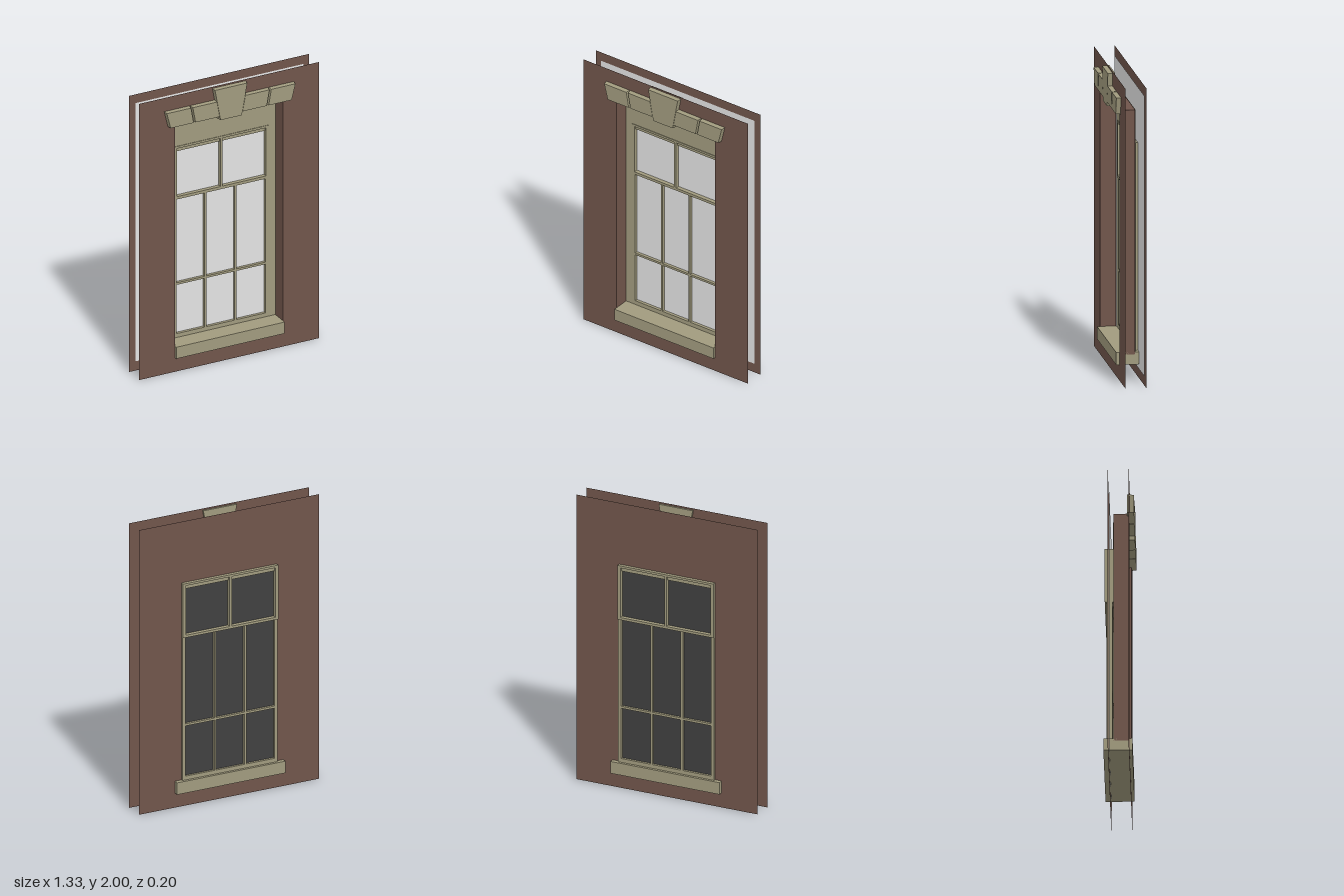
import * as THREE from 'three';

const mat = (name, color, side = THREE.DoubleSide) => {
  const m = new THREE.MeshStandardMaterial({ color, side });
  m.name = name;
  return m;
};

// Rectangle path, given as [x0, y0, x1, y1]
const rectPath = (Type, [x0, y0, x1, y1]) => {
  const p = new Type();
  p.moveTo(x0, y0).lineTo(x1, y0).lineTo(x1, y1).lineTo(x0, y1).closePath();
  return p;
};

const holed = (outer, holes) => {
  const s = rectPath(THREE.Shape, outer);
  holes.forEach(h => s.holes.push(rectPath(THREE.Path, h)));
  return s;
};

export function createModel() {
  const brick = mat('brick brown', 0x70554b);
  const stone = mat('khaki stone', 0xa19b7e);
  const pane = mat('pale glass', 0xe3e3e3, THREE.FrontSide);
  const dark = mat('dark glass', 0x404040, THREE.FrontSide);

  const group = new THREE.Group();
  const add = (name, geo, material, x = 0, y = 0, z = 0) => {
    const m = new THREE.Mesh(geo, material);
    m.name = name;
    m.position.set(x, y, z);
    group.add(m);
    return m;
  };
  const sheet = (name, outer, holes, z, material) =>
    add(name, new THREE.ShapeGeometry(holed(outer, holes)), material, 0, 0, z);
  const slab = (name, outer, holes, z0, z1, material) =>
    add(name, new THREE.ExtrudeGeometry(holed(outer, holes), { depth: z1 - z0, bevelEnabled: false }),
      material, 0, 0, z0);

  const zFront = 0.07, zReveal = -0.035;
  const wall = [-0.665, 0, 0.665, 2];
  const opening = [-0.4, 0.17, 0.4, 1.8];

  // Two thin wall skins
  sheet('frontWall', wall, [opening], zFront, brick);
  sheet('backWall', wall, [[-0.35, 0.17, 0.35, 1.568]], -0.067, brick);

  // Reveal around the opening
  const depth = zFront - zReveal, zMid = (zFront + zReveal) / 2;
  for (const s of [-1, 1]) {
    const side = add('revealSide', new THREE.PlaneGeometry(depth, 1.63), brick, s * 0.4, 0.985, zMid);
    side.rotation.y = -s * Math.PI / 2;
  }
  const top = add('revealTop', new THREE.PlaneGeometry(0.8, depth), brick, 0, 1.8, zMid);
  top.rotation.x = Math.PI / 2;

  // Surround panel and sill
  sheet('windowSurround', opening,
    [[-0.33, 0.212, 0.33, 1.185], [-0.345, 1.2, 0.345, 1.56]], -0.038, stone);
  add('sill', new THREE.BoxGeometry(0.8, 0.083, 0.19), stone, 0, 0.144, -0.005);

  // Upper sash with two lights and a recessed top rail
  slab('upperSash', [-0.352, 1.19, 0.352, 1.57],
    [[-0.33, 1.207, -0.008, 1.555], [0.008, 1.207, 0.33, 1.555]], -0.092, -0.034, stone);
  add('upperSashRail', new THREE.BoxGeometry(0.66, 0.028, 0.03), stone, 0, 1.543, -0.063);

  // Lower sash with three columns and two rows
  const cols = [[-0.33, -0.122], [-0.107, 0.102], [0.116, 0.33]];
  const rows = [[0.212, 0.565], [0.58, 1.185]];
  const lights = cols.flatMap(([x0, x1]) => rows.map(([y0, y1]) => [x0, y0, x1, y1]));
  slab('lowerSash', [-0.352, 0.18, 0.352, 1.195], lights, -0.081, -0.041, stone);

  // One wide glass sheet, pale towards the front and dark towards the back
  add('glassFront', new THREE.PlaneGeometry(1.24, 1.87), pane, 0, 1.005, -0.061);
  add('glassBack', new THREE.PlaneGeometry(1.24, 1.87), dark, 0, 1.005, -0.063).rotation.y = Math.PI;

  // Wedge stone: bottom and top x ranges, slightly smaller at its front face
  const wedge = (name, [b0, b1], [t0, t1], y0, y1) => {
    const s = new THREE.Shape();
    s.moveTo(b0, y0).lineTo(b1, y0).lineTo(t1, y1).lineTo(t0, y1).closePath();
    const geo = new THREE.ExtrudeGeometry(s, { depth: 0.047, bevelEnabled: false });
    const p = geo.attributes.position, cx = (t0 + t1 + b0 + b1) / 4, cy = (y0 + y1) / 2;
    for (let i = 0; i < p.count; i++) {
      if (p.getZ(i) < 0.02) continue;
      p.setX(i, p.getX(i) - 0.005 * Math.sign(p.getX(i) - cx));
      p.setY(i, p.getY(i) - 0.004 * Math.sign(p.getY(i) - cy));
    }
    geo.computeVertexNormals();
    add(name, geo, stone, 0, 0, 0.054);
  };
  wedge('keystone', [-0.083, 0.083], [-0.124, 0.124], 1.758, 1.99);
  wedge('innerArchStoneLeft', [0.08, 0.268], [0.1, 0.288], 1.784, 1.903);
  wedge('innerArchStoneRight', [-0.268, -0.08], [-0.288, -0.1], 1.784, 1.903);
  wedge('outerArchStoneLeft', [0.272, 0.452], [0.292, 0.48], 1.784, 1.903);
  wedge('outerArchStoneRight', [-0.452, -0.272], [-0.48, -0.292], 1.784, 1.903);

  return group;
}
